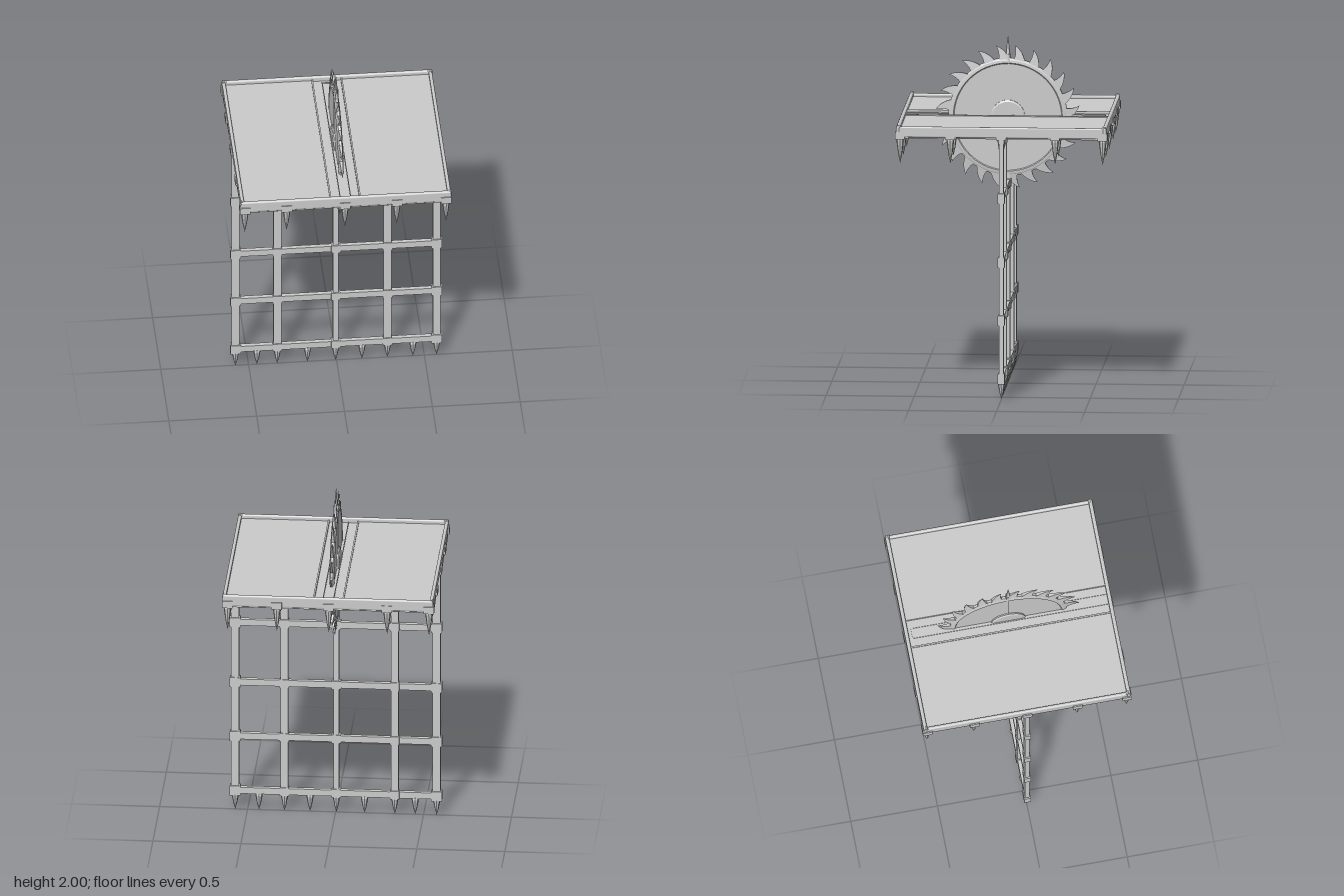
import * as THREE from 'three';
import { RoundedBoxGeometry } from 'three/addons/geometries/RoundedBoxGeometry.js';

const steel = new THREE.MeshStandardMaterial({ color: 0xcccccc, flatShading: true });
const smooth = new THREE.MeshStandardMaterial({ color: 0xcccccc });

const COLS = [-0.575, -0.337, -0.005, 0.29, 0.57];   // bar positions along x
const ROWS = [0.12, 0.455, 0.787, 1.155, 1.455];     // gate crossbar heights
const LINES = [-0.575, -0.305, 0, 0.29, 0.575];      // table crossbar positions along z

function add(parent, name, geometry, x, y, z, material = steel) {
  const mesh = new THREE.Mesh(geometry, material);
  mesh.name = name;
  mesh.position.set(x, y, z);
  parent.add(mesh);
  return mesh;
}

function box(parent, name, w, h, d, x, y, z) {
  return add(parent, name, new THREE.BoxGeometry(w, h, d), x, y, z);
}

// Downward point with a short collar; top is where it meets the bar
function spike(parent, x, top, z, length, radius) {
  const profile = [[0, 0], [radius * 0.5, length * 0.35], [radius, length * 0.88], [radius * 0.8, length], [0, length]];
  const geo = new THREE.LatheGeometry(profile.map(p => new THREE.Vector2(...p)), 8);
  add(parent, 'spike', geo, x, top - length, z);
}

// Hanging gate of crossed bars with collars and spikes
function makeGate() {
  const gate = new THREE.Group();
  gate.name = 'gate';
  COLS.forEach((x, i) => {
    const w = i === 2 ? 0.03 : 0.044;
    box(gate, 'gateUpright', w, 1.4, 0.026, x, 0.81, 0);
    ROWS.forEach((y, j) => {
      if (j === 4) return;
      const outer = i === 0 || i === 4;
      box(gate, 'gateCollar', outer ? 0.06 : 0.052, outer ? 0.058 : 0.05, 0.038, x, y, 0);
    });
  });
  for (const y of ROWS) box(gate, 'gateCrossbar', 1.17, 0.038, 0.026, 0, y, 0);
  for (const x of [...COLS, -0.453, -0.165, 0.145, 0.435]) spike(gate, x, 0.105, 0, 0.105, 0.021);
  return gate;
}

// Lattice and spikes under the table
function makeLattice() {
  const lattice = new THREE.Group();
  lattice.name = 'tableLattice';
  for (const x of COLS) box(lattice, 'latticeBarLong', 0.036, 0.026, 1.17, x, 1.508, 0);
  for (const z of LINES) box(lattice, 'latticeBarCross', 1.17, 0.026, 0.036, 0, 1.508, z);
  COLS.forEach((x, i) => LINES.forEach((z, j) => {
    box(lattice, 'latticeCollar', 0.06, 0.042, 0.055, x, 1.512, z);
    const inSawPath = i === 2 && j > 0 && j < 4;
    if (!inSawPath) spike(lattice, x, 1.5, z, 0.15, 0.022);
  }));
  return lattice;
}

// Table top with raised rim and the strip around the saw
function makeTable() {
  const table = new THREE.Group();
  table.name = 'table';
  box(table, 'leftPanel', 0.51, 0.025, 1.17, 0.335, 1.5325, 0);
  box(table, 'rightPanel', 0.5, 0.025, 1.17, -0.34, 1.5325, 0);
  box(table, 'sawStrip', 0.17, 0.018, 1.19, -0.005, 1.529, 0);
  for (const x of [-0.086, 0.082]) box(table, 'stripRidge', 0.009, 0.03, 1.18, x, 1.536, 0);
  for (const x of [-0.03, 0.03]) box(table, 'slotEdge', 0.005, 0.016, 1.125, x, 1.535, 0.01);
  box(table, 'slotEnd', 0.065, 0.016, 0.005, 0, 1.535, -0.553);
  for (const s of [-1, 1]) {
    add(table, 'endRim', new RoundedBoxGeometry(1.2, 0.068, 0.022, 3, 0.01), 0, 1.534, s * 0.586, smooth);
    add(table, 'sideRim', new RoundedBoxGeometry(0.02, 0.062, 1.17, 3, 0.009), s * 0.588, 1.533, 0, smooth);
    // Pointed caps on the rim corners
    for (const t of [-1, 1]) {
      const cap = new THREE.ConeGeometry(0.014, 0.06, 8).rotateZ(s * Math.PI / 2);
      add(table, 'cornerCap', cap, s * 0.567, 1.56, t * 0.583);
    }
  }
  return table;
}

// Upright circular blade with hooked teeth thinning to their tips
function makeSaw() {
  const saw = new THREE.Group();
  saw.name = 'saw';
  const disc = [[0, -0.011], [0.305, -0.011], [0.31, -0.015], [0.325, -0.013], [0.338, -0.007],
    [0.338, 0.007], [0.325, 0.013], [0.31, 0.015], [0.305, 0.011], [0, 0.011]];
  const discGeo = new THREE.LatheGeometry(disc.map(p => new THREE.Vector2(...p)), 64).rotateZ(Math.PI / 2);
  add(saw, 'bladeDisc', discGeo, 0, 0, 0);

  const fin = new THREE.Shape();
  fin.moveTo(0.32, -0.04);
  fin.quadraticCurveTo(0.385, -0.02, 0.41, 0.035);
  fin.quadraticCurveTo(0.37, 0.016, 0.32, 0.028);
  const finGeo = new THREE.ExtrudeGeometry(fin, { depth: 0.024, bevelEnabled: false, curveSegments: 6 }).translate(0, 0, -0.012);
  const p = finGeo.attributes.position;
  for (let i = 0; i < p.count; i++) {
    const r = Math.hypot(p.getX(i), p.getY(i));
    p.setZ(i, p.getZ(i) * Math.max(0.08, 1 - (r - 0.32) / 0.1));
  }
  const teeth = 24;
  for (let i = 0; i < teeth; i++) {
    const geo = finGeo.clone().rotateZ(((i + 0.3) / teeth) * Math.PI * 2).rotateY(Math.PI / 2);
    add(saw, 'tooth', geo, 0, 0, 0);
  }

  // Hub, spindle rod and top point
  const hub = [[0, -0.024], [0.088, -0.024], [0.098, -0.018], [0.098, 0.018], [0.088, 0.024], [0, 0.024]];
  add(saw, 'hub', new THREE.LatheGeometry(hub.map(q => new THREE.Vector2(...q)), 32).rotateZ(Math.PI / 2), 0, 0, 0);
  box(saw, 'rod', 0.028, 0.36, 0.012, 0, 0.18, -0.006);
  const tip = new THREE.ConeGeometry(0.018, 0.145, 8);
  tip.scale(0.75, 1, 1);
  add(saw, 'topPoint', tip, 0, 0.3975, 0);
  saw.position.set(-0.003, 1.53, 0);
  return saw;
}

export function createModel() {
  const model = new THREE.Group();
  model.name = 'sawTableWithGate';
  model.add(makeGate(), makeLattice(), makeTable(), makeSaw());
  return model;
}
